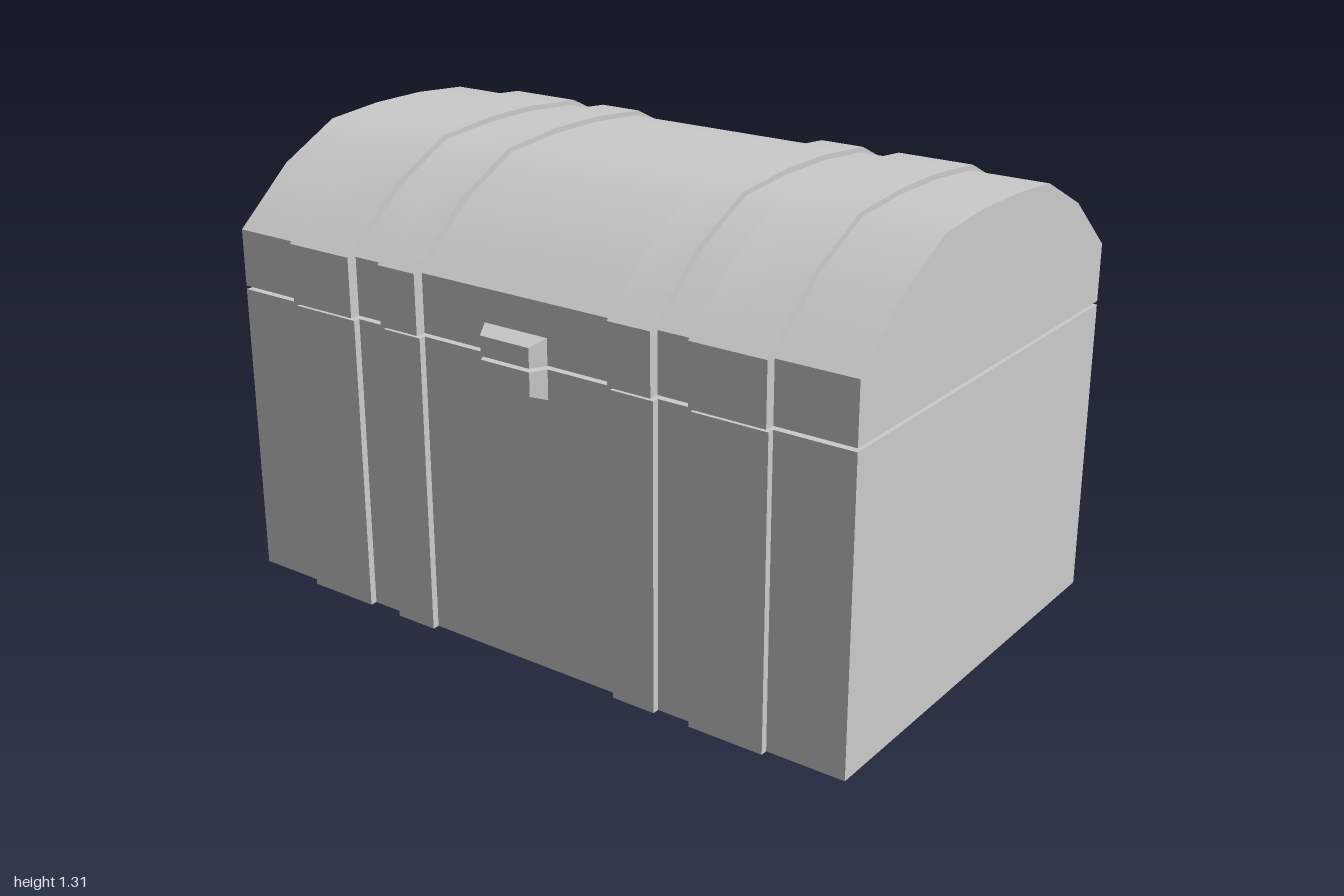
import * as THREE from 'three';
import { toCreasedNormals } from 'three/addons/utils/BufferGeometryUtils.js';

const CX = 0.005; // the cross-sections sit slightly off centre
const material = new THREE.MeshStandardMaterial({ color: 0xcccccc });

// Half outlines (x from the middle, y), running up the side to the crown
const bodyHalf = [[0.645, 0], [0.645, 0.855]];
const bodyBandHalf = [[0.665, 0], [0.665, 0.855]];
const lidHalf = [[0.645, 0.865], [0.645, 1.03], [0.463, 1.185], [0.275, 1.278], [0.09, 1.293]];
const lidBandHalf = [[0.675, 0.865], [0.675, 1.035], [0.485, 1.195], [0.29, 1.29], [0.09, 1.308]];

// Mirrors a half outline and extrudes it from z0 to z1
function slab(name, half, z0, z1) {
  const points = [
    ...half.map(([x, y]) => new THREE.Vector2(CX + x, y)),
    ...[...half].reverse().map(([x, y]) => new THREE.Vector2(CX - x, y)),
  ];
  const geometry = new THREE.ExtrudeGeometry(new THREE.Shape(points), { depth: z1 - z0, bevelEnabled: false });
  geometry.translate(0, 0, z0);
  const mesh = new THREE.Mesh(toCreasedNormals(geometry, 0.6), material);
  mesh.name = name;
  return mesh;
}

// Latch plate: a box whose outer face is narrower and whose far edge slopes
function latchPlate(name, seam, outerY, innerY) {
  const geometry = new THREE.BoxGeometry(1, 1, 1).toNonIndexed();
  const p = geometry.attributes.position;
  const up = outerY > seam;
  for (let i = 0; i < p.count; i++) {
    const outer = p.getX(i) < 0;
    const atSeam = (p.getY(i) < 0) === up;
    p.setXYZ(i, outer ? -0.685 : -0.635, atSeam ? seam : outer ? outerY : innerY,
      Math.sign(p.getZ(i)) * (outer ? 0.08 : 0.105));
  }
  geometry.computeVertexNormals();
  const mesh = new THREE.Mesh(geometry, material);
  mesh.name = name;
  return mesh;
}

export function createModel() {
  const chest = new THREE.Group();
  chest.name = 'chest';
  const base = new THREE.Group();
  base.name = 'base';
  const lid = new THREE.Group();
  lid.name = 'lid';
  chest.add(base, lid);

  base.add(slab('baseBox', bodyHalf, -1, 1));
  lid.add(slab('lidDome', lidHalf, -1, 1));

  // A wide and a narrow band toward each end
  for (const [size, near, far] of [['wide', 0.555, 0.775], ['narrow', 0.315, 0.445]]) {
    for (const [end, z0, z1] of [['Front', near, far], ['Back', -far, -near]]) {
      base.add(slab(`${size}BaseBand${end}`, bodyBandHalf, z0, z1));
      lid.add(slab(`${size}LidBand${end}`, lidBandHalf, z0, z1));
    }
  }

  // Two-part latch in the middle of the right side
  lid.add(latchPlate('latchUpper', 0.865, 0.92, 0.94));
  base.add(latchPlate('latchLower', 0.855, 0.79, 0.77));

  return chest;
}
